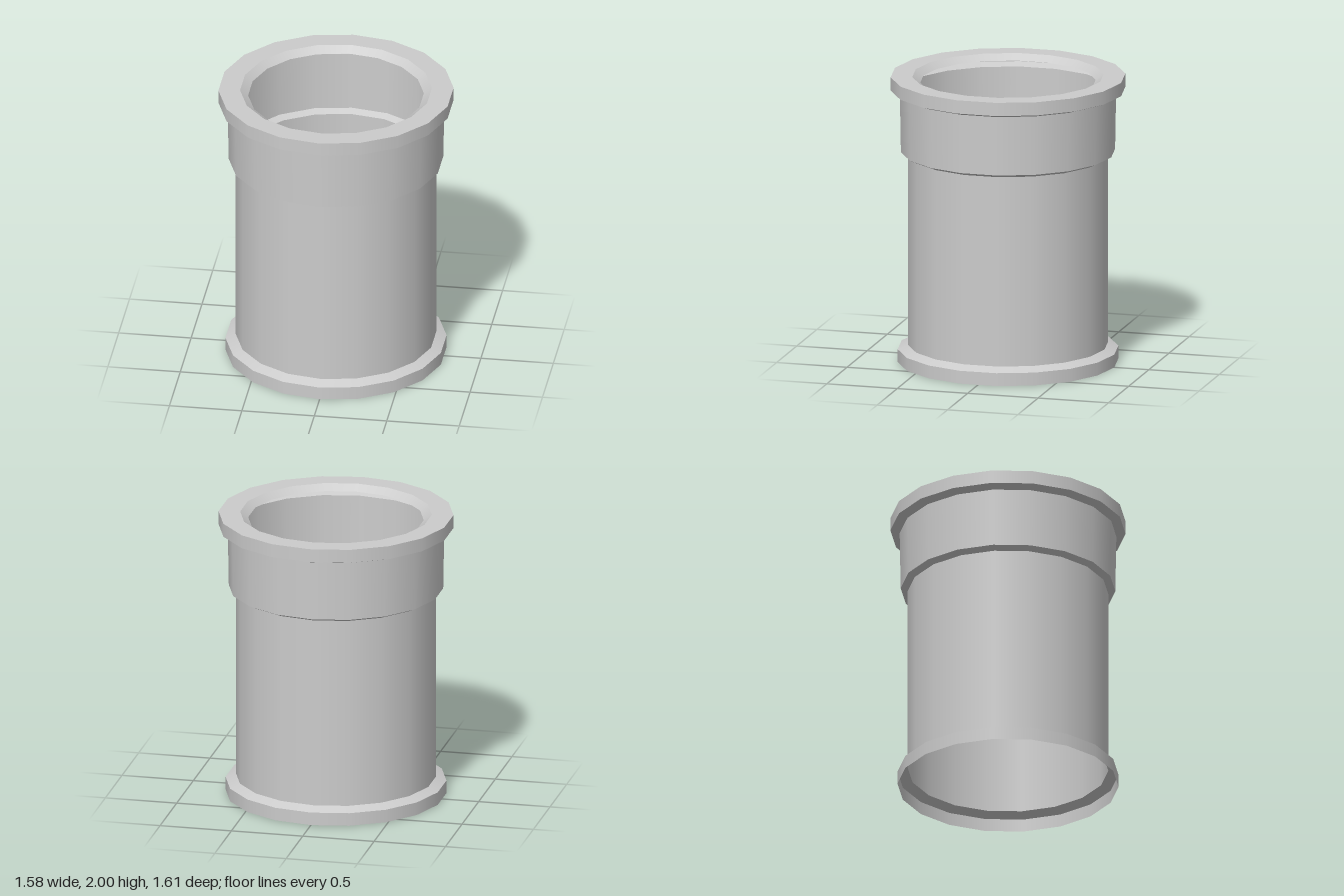
import * as THREE from 'three';

const SIDES = 18;
const material = new THREE.MeshStandardMaterial({ color: 0xcccccc, side: THREE.DoubleSide });

// One turned band between two [radius, height] points: smooth around, crisp at its rims
function band(from, to) {
  const points = [from, to].map(([r, y]) => new THREE.Vector2(r, y));
  return new THREE.Mesh(new THREE.LatheGeometry(points, SIDES), material);
}

// A part made of consecutive bands along a profile
function turnedPart(name, profile) {
  const part = new THREE.Group();
  part.name = name;
  for (let i = 1; i < profile.length; i++) {
    const mesh = band(profile[i - 1], profile[i]);
    mesh.name = `${name}Band${i}`;
    part.add(mesh);
  }
  return part;
}

export function createModel() {
  const model = new THREE.Group();
  model.name = 'pipe';
  model.add(
    // Open foot ring with sloped shoulder
    turnedPart('footRing', [[0.755, 0], [0.755, 0.09], [0.685, 0.12]]),
    // Long straight pipe wall
    turnedPart('pipeWall', [[0.685, 0.12], [0.685, 1.45]]),
    // Wider sleeve, flaring slightly upwards
    turnedPart('sleeve', [[0.685, 1.45], [0.733, 1.473], [0.74, 1.885]]),
    // Top flange with a bevelled lip turned into the opening
    turnedPart('topFlange', [[0.74, 1.885], [0.803, 1.907], [0.803, 2], [0.655, 2], [0.6, 1.96]]),
  );
  return model;
}
